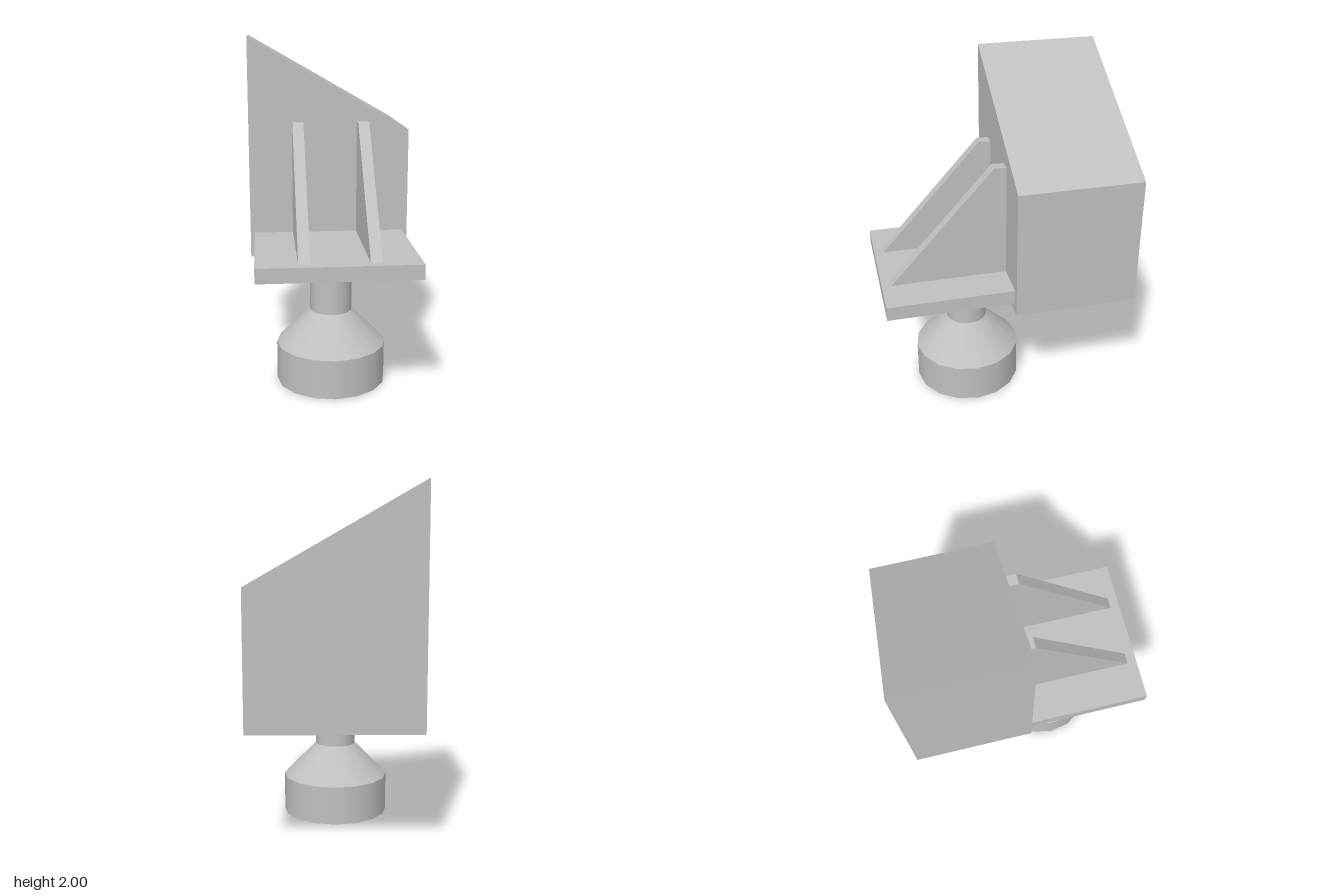
import * as THREE from 'three';

export function createModel() {
  const model = new THREE.Group();
  const grey = new THREE.MeshStandardMaterial({ color: 0xc0c0c0 });
  grey.name = 'light grey';

  const add = (name, geometry, x = 0, y = 0, z = 0) => {
    const mesh = new THREE.Mesh(geometry, grey);
    mesh.name = name;
    mesh.position.set(x, y, z);
    model.add(mesh);
    return mesh;
  };
  const prism = (points, depth) => new THREE.ExtrudeGeometry(
    new THREE.Shape(points.map(([x, y]) => new THREE.Vector2(x, y))),
    { depth, bevelEnabled: false });

  // Upright block with a sloping top
  add('slopedBlock', prism([[-0.475, 0.7], [0.47, 0.7], [0.47, 1.46], [-0.475, 2]], 0.715), 0, 0, -0.72);

  // Shelf in front of the block
  add('shelf', new THREE.BoxGeometry(0.89, 0.083, 0.725), -0.005, 0.807, 0.358);

  // Two triangular ribs bracing the block on the shelf
  const ribProfile = [[-0.005, 0.848], [0.665, 0.848], [0.065, 1.515], [-0.005, 1.512]];
  for (const [name, x] of [['rightRib', -0.222], ['leftRib', 0.16]]) {
    const rib = prism(ribProfile, 0.064);
    rib.rotateY(-Math.PI / 2); // profile x becomes z, depth runs to -x
    add(name, rib, x + 0.064, 0, 0);
  }

  // Turned foot, 16-sided: [name, top radius, bottom radius, bottom y, top y, open ended]
  const foot = [
    ['footBase', 0.32, 0.32, 0, 0.23, false],
    ['footCone', 0.123, 0.32, 0.23, 0.43, true],
    ['stem', 0.123, 0.123, 0.43, 0.66, true],
    ['collar', 0.171, 0.171, 0.66, 0.766, false],
  ];
  for (const [name, top, bottom, y0, y1, open] of foot) {
    add(name, new THREE.CylinderGeometry(top, bottom, y1 - y0, 16, 1, open), -0.01, (y0 + y1) / 2, 0.19);
  }
  return model;
}
